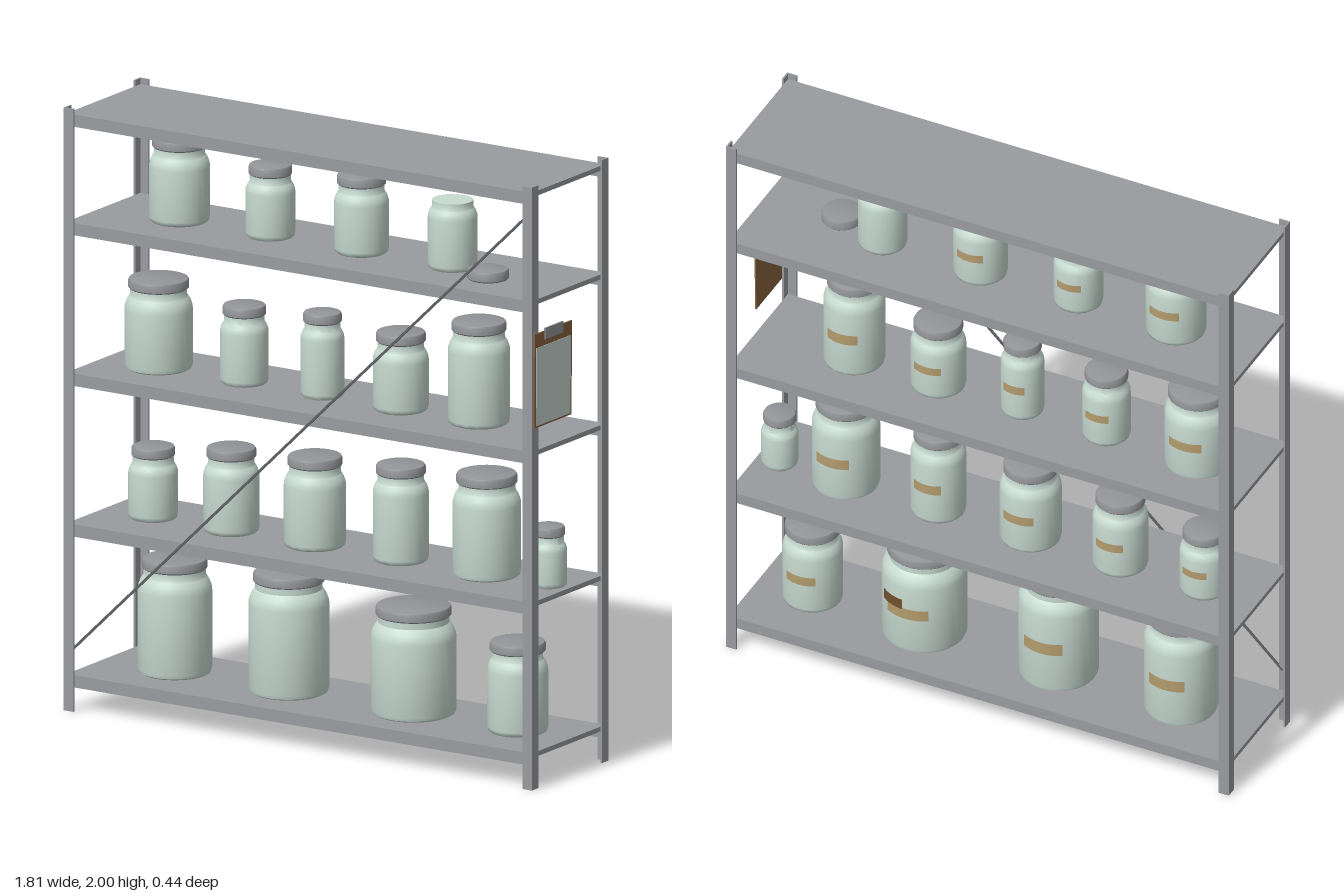
import * as THREE from 'three';
import { toCreasedNormals } from 'three/addons/utils/BufferGeometryUtils.js';

const mat = (name, color, side = THREE.FrontSide) => {
  const m = new THREE.MeshStandardMaterial({ color, side });
  m.name = name;
  return m;
};

export function createModel() {
  const steel = mat('steel', 0x999b9f);
  const lidMetal = mat('lid metal', 0x929498);
  const braceMetal = mat('brace metal', 0x606266);
  const glass = mat('pale green glass', 0xc8dbd1);
  const tan = mat('tan label', 0xb39c6e, THREE.DoubleSide);
  const darkTan = mat('dark label', 0x70502f, THREE.DoubleSide);
  const boardBrown = mat('brown board', 0x87623f);
  const paperMat = mat('paper', 0xc6d5ce);

  const model = new THREE.Group();
  model.name = 'jarShelf';

  const add = (parent, name, geo, material, x = 0, y = 0, z = 0) => {
    const m = new THREE.Mesh(geo, material);
    m.name = name;
    m.position.set(x, y, z);
    parent.add(m);
    return m;
  };
  const box = (parent, name, material, [x0, x1], [y0, y1], [z0, z1]) =>
    add(parent, name, new THREE.BoxGeometry(x1 - x0, y1 - y0, z1 - z0), material,
      (x0 + x1) / 2, (y0 + y1) / 2, (z0 + z1) / 2);
  const lathe = (pts) => toCreasedNormals(
    new THREE.LatheGeometry(pts.map(([x, y]) => new THREE.Vector2(x, y)), 32), 0.7);

  // Rack: four angle-section posts
  const cx = -0.006, hx = 0.899, hz = 0.222, w = 0.037, t = 0.006;
  for (const sx of [-1, 1]) for (const sz of [-1, 1]) {
    const s = new THREE.Shape();
    [[0, 0], [w, 0], [w, t], [t, t], [t, w], [0, w]].forEach(([a, b], i) => {
      const x = sx * (hx - a), y = -sz * (hz - b);
      i ? s.lineTo(x, y) : s.moveTo(x, y);
    });
    const geo = new THREE.ExtrudeGeometry(s, { depth: 2, bevelEnabled: false });
    geo.rotateX(-Math.PI / 2);
    add(model, 'post', geo, steel, cx);
  }

  // Shelves: plate with folded lips front and back
  const levels = [0.12, 0.62, 1.12, 1.62, 1.98];
  const ix = [cx - hx + t, cx + hx - t];
  for (const y of levels) {
    box(model, 'shelfPlate', steel, ix, [y - 0.016, y], [-0.215, 0.215]);
    for (const s of [-1, 1]) {
      const z = [s * 0.203, s * 0.211].sort((a, b) => a - b);
      box(model, 'shelfLip', steel, ix, [y - 0.042, y - 0.016], z);
    }
  }

  // Diagonal front brace
  const a = new THREE.Vector2(-0.88, 0.2), b = new THREE.Vector2(0.87, 1.9);
  const d = b.clone().sub(a);
  const brace = add(model, 'diagonalBrace', new THREE.BoxGeometry(d.length(), 0.008, 0.005),
    braceMetal, (a.x + b.x) / 2, (a.y + b.y) / 2, 0.2178);
  brace.rotation.z = d.angle();

  // Lid with a rolled edge
  const lidGeo = (r, h) => lathe([[0, 0], [r - 0.004, 0], [r, 0.004], [r, h - 0.008],
    [r - 0.003, h - 0.002], [r - 0.009, h], [0, h]]);

  // Curved label wrapped on the rear of a jar
  const label = (jar, name, material, r, y, h, from, to) =>
    add(jar, name, new THREE.CylinderGeometry(r, r, h, 12, 1, true, Math.PI + from, to - from),
      material, 0, y, 0);

  const makeJar = (x, base, r, top, lidR, hasLabel = true) => {
    const jar = new THREE.Group();
    jar.name = 'jar';
    jar.position.set(x, base, 0);
    const h = top - base, lidH = 0.034;
    const neckTop = lidR ? h - lidH : h;
    const neck = r * 0.83;
    const sh = neckTop - 0.022, drop = Math.min(r * 0.42, 0.05);
    add(jar, 'jarBody', lathe([[0, 0], [r * 0.9, 0], [r * 0.97, 0.005], [r, 0.016],
      [r, sh - drop], [r * 0.985, sh - drop * 0.7], [r * 0.94, sh - drop * 0.4],
      [r * 0.87, sh - drop * 0.12], [neck, sh], [neck, neckTop], [0, neckTop]]), glass);
    if (lidR) add(jar, 'lid', lidGeo(lidR, lidH), lidMetal, 0, neckTop, 0);
    if (hasLabel) label(jar, 'label', tan, r + 0.002, h * 0.43, h * 0.11, -0.55, 0.55);
    model.add(jar);
    return jar;
  };

  // Jars by shelf: x, body radius, top height, lid radius, label
  const rows = [
    [[-0.625, 0.12, 0.5, 0.105], [-0.187, 0.13, 0.52, 0.115],
      [0.292, 0.138, 0.48, 0.122], [0.692, 0.098, 0.42, 0.09]],
    [[-0.708, 0.08, 0.86, 0.07], [-0.408, 0.09, 0.9, 0.08], [-0.087, 0.1, 0.92, 0.088],
      [0.243, 0.09, 0.94, 0.08], [0.573, 0.11, 0.96, 0.098], [0.81, 0.06, 0.82, 0.053, false]],
    [[-0.687, 0.11, 1.42, 0.098], [-0.358, 0.078, 1.38, 0.07], [-0.058, 0.07, 1.4, 0.062],
      [0.243, 0.09, 1.38, 0.08], [0.543, 0.1, 1.46, 0.088]],
    [[-0.607, 0.098, 1.9, 0.088], [-0.258, 0.08, 1.86, 0.07], [0.092, 0.088, 1.88, 0.079],
      [0.442, 0.08, 1.845, 0, false]],
  ];
  const jars = rows.map((row, i) =>
    row.map(([x, r, top, lidR, lab]) => makeJar(x, levels[i], r, top, lidR, lab)));

  // Extra dark patch on one large jar, loose lid on the upper shelf
  label(jars[0][2], 'darkLabel', darkTan, 0.142, 0.19, 0.038, -0.7, -0.08);
  add(model, 'looseLid', lidGeo(0.067, 0.035), lidMetal, 0.613, 1.62, 0.053);

  // Clipboard hanging on the left side of the rack
  const clipboard = new THREE.Group();
  clipboard.name = 'clipboard';
  clipboard.position.set(0.8935, 1.2, 0.108);
  clipboard.rotation.z = -0.006;
  box(clipboard, 'board', boardBrown, [0, 0.005], [0, 0.312], [-0.108, 0.108]);
  box(clipboard, 'paper', paperMat, [0.005, 0.0065], [0.006, 0.265], [-0.1, 0.1]);
  box(clipboard, 'clip', lidMetal, [0.003, 0.009], [0.285, 0.322], [-0.053, 0.053]);
  model.add(clipboard);

  return model;
}
